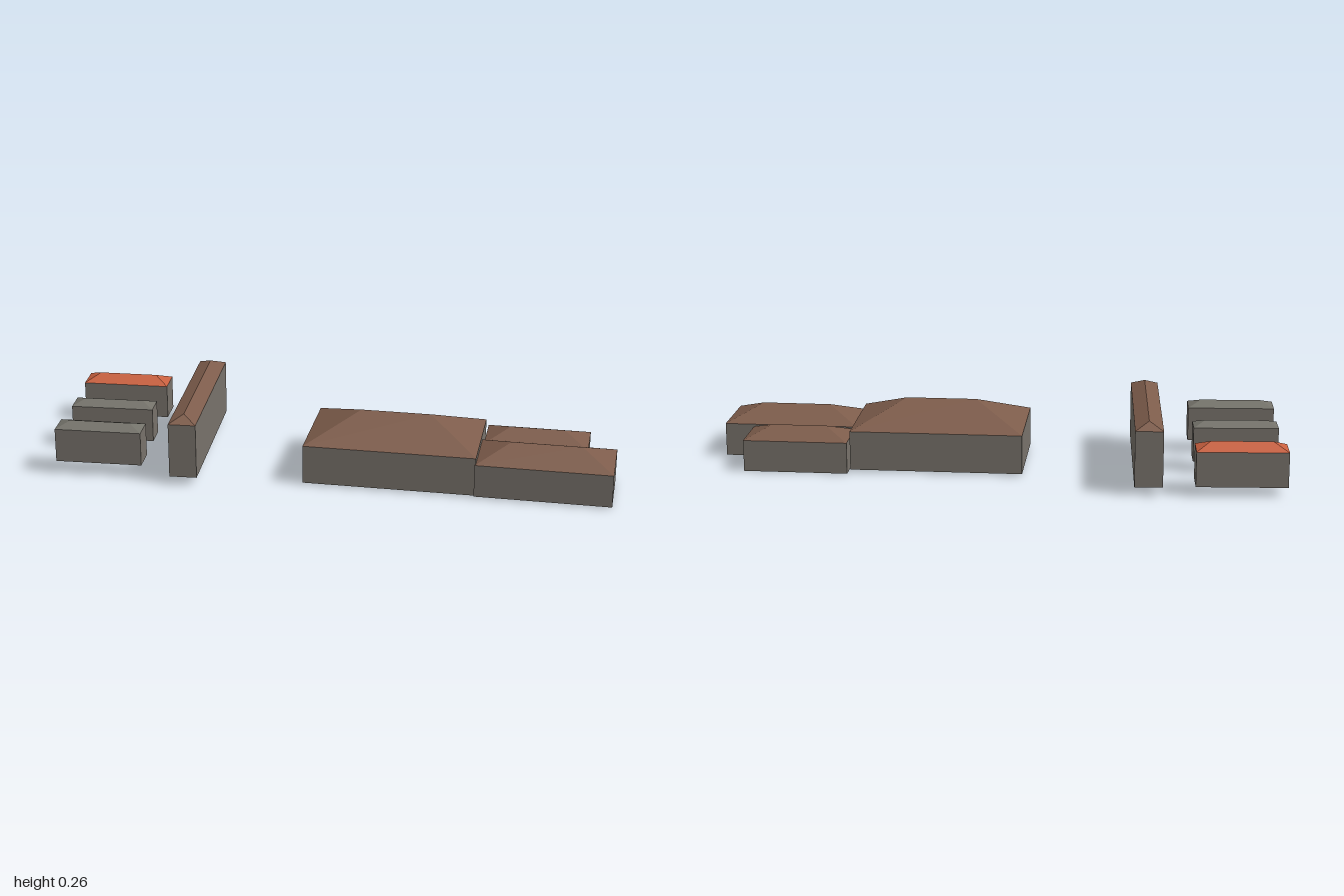
import * as THREE from 'three';

function material(name, color) {
  const m = new THREE.MeshStandardMaterial({ color, side: THREE.DoubleSide });
  m.name = name;
  return m;
}

// Flat-shaded surface from a list of polygons, each a fan of [x, y, z] corners
function surface(name, polygons, mat) {
  const positions = [];
  for (const p of polygons) {
    for (let i = 1; i < p.length - 1; i++) positions.push(...p[0], ...p[i], ...p[i + 1]);
  }
  const geometry = new THREE.BufferGeometry();
  geometry.setAttribute('position', new THREE.Float32BufferAttribute(positions, 3));
  geometry.computeVertexNormals();
  const mesh = new THREE.Mesh(geometry, mat);
  mesh.name = name;
  return mesh;
}

// Open-bottomed block with a hipped roof, its ridge running along local z
function building({ name, at, size, angle, base, eave, ridge, roof }, wallMat) {
  const [w, l] = size.map((s) => s / 2);
  const ring = (y) => [[-w, y, l], [w, y, l], [w, y, -l], [-w, y, -l]];
  const low = ring(base), top = ring(eave);
  const front = [0, ridge, l - w], back = [0, ridge, w - l];

  const walls = low.map((p, i) => {
    const j = (i + 1) % 4;
    return [p, low[j], top[j], top[i]];
  });
  const slopes = [
    [top[0], top[1], front],
    [top[1], top[2], back, front],
    [top[2], top[3], back],
    [top[3], top[0], front, back],
  ];

  const group = new THREE.Group();
  group.name = name;
  group.add(surface(name + 'Walls', walls, wallMat), surface(name + 'Roof', slopes, roof));
  group.position.set(at[0], 0, at[1]);
  group.rotation.y = angle;
  return group;
}

export function createModel() {
  const wall = material('wallGrey', 0x78726b);
  const brown = material('roofBrown', 0x7d5c4b);
  const grey = material('roofGrey', 0x74726a);
  const orange = material('roofOrange', 0xc8603f);

  // at: centre x, z; size: width, length; angle: turn of the ridge about y
  const buildings = [
    { name: 'mainHall', at: [0.159, 0.227], size: [0.366, 0.62], angle: 0.593, base: 0.006, eave: 0.148, ridge: 0.229, roof: brown },
    { name: 'frontWing', at: [0.406, 0.724], size: [0.236, 0.486], angle: 0.585, base: 0.005, eave: 0.125, ridge: 0.175, roof: brown },
    { name: 'sideWing', at: [0.544, 0.575], size: [0.178, 0.375], angle: 0.59, base: 0, eave: 0.114, ridge: 0.151, roof: brown },
    { name: 'longHouse', at: [-0.217, -0.421], size: [0.099, 0.636], angle: 2.219, base: 0.031, eave: 0.232, ridge: 0.256, roof: brown },
    { name: 'orangeShed', at: [-0.197, -0.84], size: [0.105, 0.32], angle: 0.648, base: 0.035, eave: 0.161, ridge: 0.186, roof: orange },
    { name: 'middleShed', at: [-0.403, -0.679], size: [0.088, 0.303], angle: 0.655, base: 0.042, eave: 0.167, ridge: 0.185, roof: grey },
    { name: 'outerShed', at: [-0.591, -0.535], size: [0.096, 0.314], angle: 0.643, base: 0.05, eave: 0.174, ridge: 0.193, roof: grey },
  ];

  const model = new THREE.Group();
  model.name = 'buildingCluster';
  for (const b of buildings) model.add(building(b, wall));
  return model;
}
